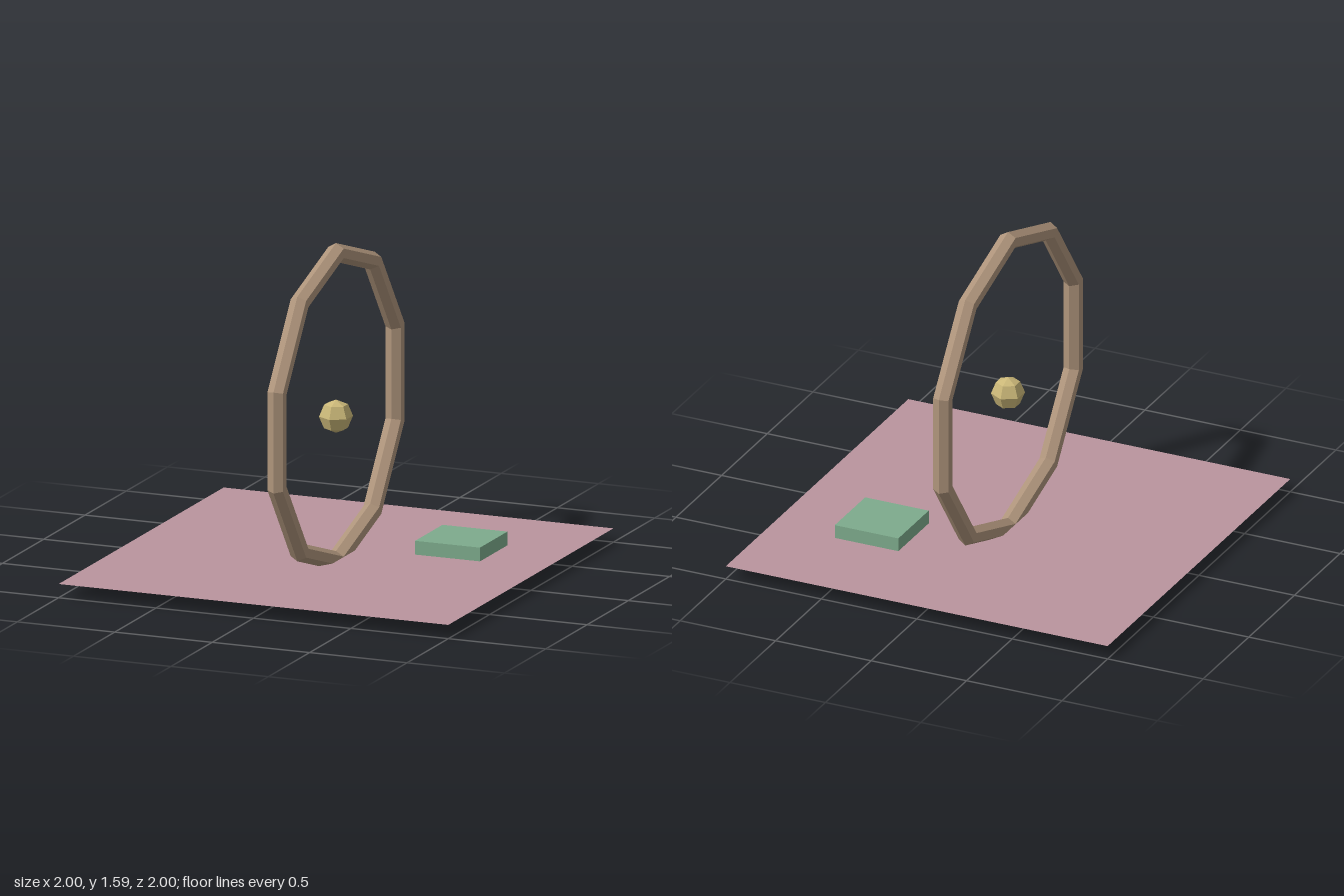
import * as THREE from 'three';

export function createModel() {
  const model = new THREE.Group();
  model.name = 'ringCourse';

  const paint = (name, color) => {
    const m = new THREE.MeshStandardMaterial({ color, flatShading: true });
    m.name = name;
    return m;
  };
  const add = (name, geometry, material, x, y, z) => {
    const mesh = new THREE.Mesh(geometry, material);
    mesh.name = name;
    mesh.position.set(x, y, z);
    model.add(mesh);
    return mesh;
  };

  const floorY = 0.073;

  // Thin square floor, seen from both sides
  const rose = paint('dustyRose', 0xba949e);
  rose.side = THREE.DoubleSide;
  add('floor', new THREE.PlaneGeometry(2, 2).rotateX(-Math.PI / 2), rose, 0, floorY, 0);

  // Ten-sided upright hoop with a hexagonal section, one corner at the top
  const hoop = new THREE.TorusGeometry(0.751, 0.046, 6, 10)
    .rotateZ(Math.PI / 2)
    .rotateY(Math.PI / 2);
  add('hoop', hoop, paint('tan', 0xae947b), 0, 0.803, 0);

  // Faceted ball floating in the hoop
  const ball = new THREE.SphereGeometry(0.081, 6, 4).rotateY(Math.PI / 2);
  add('ball', ball, paint('paleGold', 0xcab778), 0, 0.756, 0);

  // Low square block on the floor
  const blockHeight = 0.067;
  add('block', new THREE.BoxGeometry(0.333, blockHeight, 0.333), paint('sageGreen', 0x7dab8c),
    0.5, floorY + 0.001 + blockHeight / 2, -0.337);

  return model;
}
